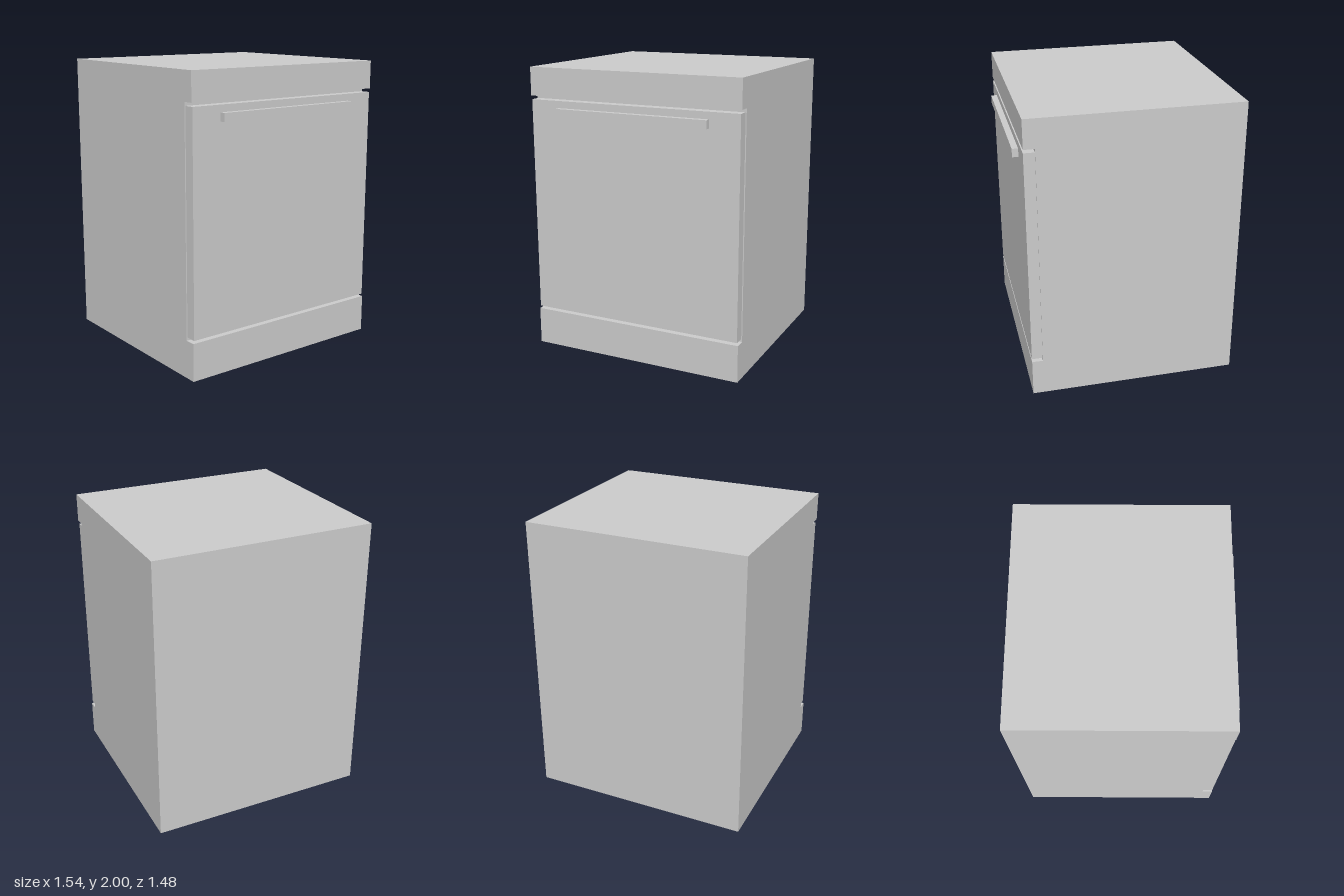
import * as THREE from 'three';

export function createModel() {
  const group = new THREE.Group();
  const material = new THREE.MeshStandardMaterial({ color: 0xcccccc, flatShading: true });

  function add(name, geometry) {
    const mesh = new THREE.Mesh(geometry, material);
    mesh.name = name;
    group.add(mesh);
    return mesh;
  }

  // Box given by its limits on each axis
  function box(name, [x0, x1], [y0, y1], [z0, z1]) {
    const mesh = add(name, new THREE.BoxGeometry(x1 - x0, y1 - y0, z1 - z0));
    mesh.position.set((x0 + x1) / 2, (y0 + y1) / 2, (z0 + z1) / 2);
  }

  const halfWidth = 0.772;
  const back = -0.738, front = 0.697, recess = 0.623;

  // Cabinet: side profile with a front recess between plinth and top panel
  const profile = new THREE.Shape([
    [back, 0], [back, 2], [front, 2], [front, 1.805],
    [recess, 1.805], [recess, 0.26], [front, 0.26], [front, 0],
  ].map(([z, y]) => new THREE.Vector2(-z, y)));
  const cabinet = new THREE.ExtrudeGeometry(profile, { depth: 2 * halfWidth, bevelEnabled: false });
  cabinet.translate(0, 0, -halfWidth);
  cabinet.rotateY(Math.PI / 2);
  add('cabinet', cabinet);

  // Door set into the recess, with a narrow gap all round
  box('door', [-0.765, 0.765], [0.28, 1.78], [recess, front]);

  // Bar handle on the door
  box('handle', [-0.553, 0.553], [1.675, 1.732], [front, 0.738]);

  return group;
}
